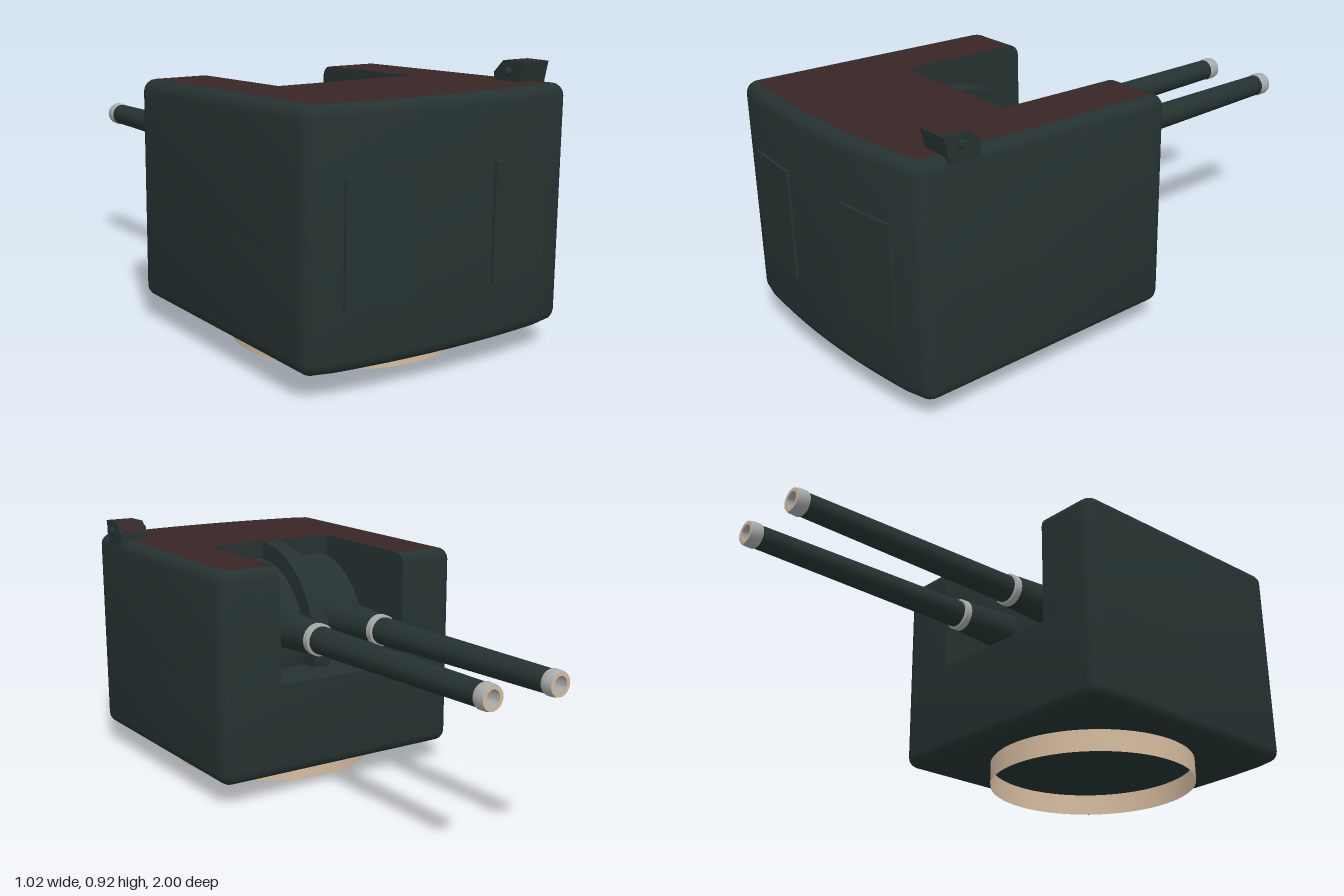
import * as THREE from 'three';
import { toCreasedNormals } from 'three/addons/utils/BufferGeometryUtils.js';

const CX = -0.01, HALF = 0.5, BACK = -0.05, NOTCH = 0.265, NOTCH_Z = 0.45, FLOOR = 0.42, R = 0.045;
const frontZ = x => 0.99 - 0.16 * x * x;
const roofY = (y, z) => (y > 0.6 ? y - 0.022 * (0.99 - z) : y);

// Plan outline of the housing as [x, z], inset by t, with or without the gun slot
function outline(t, slotted) {
  const pts = [], r = R - t;
  const corner = (cx, cz, a0) => {
    for (let i = 0; i <= 4; i++) {
      const a = a0 + (i / 4) * Math.PI / 2;
      pts.push([cx + r * Math.cos(a), cz + r * Math.sin(a)]);
    }
  };
  const ex = HALF - R, ez = frontZ(HALF) - R;
  if (slotted) pts.push([NOTCH, BACK + t]);
  corner(ex, BACK + R, -Math.PI / 2);
  corner(ex, ez, 0);
  for (let i = 1; i < 16; i++) {
    const x = ex * (1 - i / 8);
    pts.push([x, frontZ(x) - t]);
  }
  corner(-ex, ez, Math.PI / 2);
  corner(-ex, BACK + R, Math.PI);
  if (slotted) pts.push([-NOTCH, BACK + t], [-NOTCH, NOTCH_Z], [NOTCH, NOTCH_Z]);
  return pts.map(([x, z]) => [x + CX, z]);
}

function geometryFrom(pos) {
  const g = new THREE.BufferGeometry();
  g.setAttribute('position', new THREE.Float32BufferAttribute(pos, 3));
  g.computeVertexNormals();
  return g;
}

// Flat cap over an outline, facing up or down
function addCap(out, loop, y, up) {
  const tris = THREE.ShapeUtils.triangulateShape(loop.map(p => new THREE.Vector2(p[0], p[1])), []);
  for (const tri of tris) {
    let [a, b, c] = tri.map(i => loop[i]);
    const n = (b[1] - a[1]) * (c[0] - a[0]) - (b[0] - a[0]) * (c[1] - a[1]);
    if ((n > 0) !== up) [b, c] = [c, b];
    for (const p of [a, b, c]) out.push(p[0], roofY(y, p[1]), p[1]);
  }
}

// Walls through a list of [y, inset] levels, bottom to top
function addWalls(out, levels, slotted) {
  const rings = levels.map(([y, t]) => outline(t, slotted).map(([x, z]) => [x, roofY(y, z), z]));
  for (let k = 0; k + 1 < rings.length; k++) {
    const lo = rings[k], hi = rings[k + 1];
    for (let i = 0; i < lo.length; i++) {
      const j = (i + 1) % lo.length;
      out.push(...lo[i], ...hi[i], ...hi[j], ...lo[i], ...hi[j], ...lo[j]);
    }
  }
}

export function createModel() {
  const mat = (name, color, side = THREE.FrontSide) => {
    const m = new THREE.MeshStandardMaterial({ color, side });
    m.name = name;
    return m;
  };
  const green = mat('darkGreen', 0x253231);
  const red = mat('darkRed', 0x392525);
  const tan = mat('tan', 0xd6bb9f, THREE.DoubleSide);
  const silver = mat('silver', 0xa9abab, THREE.DoubleSide);
  const root = new THREE.Group();
  root.name = 'gunTurret';
  const add = (name, geo, material, x = 0, y = 0, z = 0, parent = root) => {
    const m = new THREE.Mesh(geo, material);
    m.name = name;
    m.position.set(x, y, z);
    parent.add(m);
    return m;
  };

  // Housing: full lower hull, slotted upper hull and red roof
  const B = 0.04, steps = [0, 1, 2, 3, 4].map(i => (i / 4) * Math.PI / 2);
  const lower = [], upper = [], roof = [];
  const bottomLevels = steps.map(a => [0.08 + B * (1 - Math.sin(a)), B * (1 - Math.cos(a))]).reverse();
  addWalls(lower, [...bottomLevels, [FLOOR, 0]], false);
  addCap(lower, outline(B, false), 0.08, false);
  addCap(lower, outline(0, false), FLOOR, true);
  const topLevels = steps.map(a => [0.82 + B * Math.sin(a), B * (1 - Math.cos(a))]);
  addWalls(upper, [[FLOOR, 0], ...topLevels], true);
  addCap(roof, outline(B, true), 0.86, true);
  add('lowerHull', toCreasedNormals(geometryFrom(lower), 0.6), green);
  add('upperHull', toCreasedNormals(geometryFrom(upper), 0.6), green);
  add('roof', geometryFrom(roof), red);

  // Base ring
  add('baseRing', new THREE.CylinderGeometry(0.38, 0.38, 0.08, 64, 1, true), tan, CX, 0.04, 0.45);

  // Gun shields and the divider between them
  const drum = (name, r, w, x) =>
    add(name, new THREE.CylinderGeometry(r, r, w, 64).rotateZ(Math.PI / 2), green, x, 0.48, 0.45);
  drum('divider', 0.365, 0.07, CX);
  for (const s of [-1, 1]) drum('gunShield', 0.3, 0.198, CX + s * 0.134);

  // Guns, lathed along -z
  for (const s of [-1, 1]) {
    const gun = new THREE.Group();
    gun.name = s > 0 ? 'leftGun' : 'rightGun';
    gun.position.set(CX + s * 0.135, 0.575, 0);
    root.add(gun);
    const lathe = (name, pts, material) => add(name, toCreasedNormals(
      new THREE.LatheGeometry(pts.map(([r, d]) => new THREE.Vector2(r, d)), 20).rotateX(-Math.PI / 2), 0.6),
    material, 0, 0, 0, gun);
    lathe('sleeve', [[0.073, -0.2], [0.071, -0.14], [0.058, 0.08]], green);
    lathe('collar', [[0.058, 0.08], [0.058, 0.105], [0.046, 0.11]], silver);
    lathe('barrel', [[0.05, 0.1], [0.04, 0.96]], green);
    lathe('muzzle', [[0.04, 0.955], [0.044, 0.962], [0.043, 0.99], [0.04, 1.0]], silver);
    lathe('muzzleRim', [[0.04, 1.0], [0.027, 1.0]], tan);
    lathe('bore', [[0.027, 1.0], [0.025, 0.93]], silver);
    lathe('borePlug', [[0.025, 0.93], [0.0001, 0.93]], green);
  }

  // Front doors, turned to follow the curved face
  for (const s of [-1, 1]) {
    const door = add(s > 0 ? 'leftDoor' : 'rightDoor',
      new THREE.BoxGeometry(0.23, 0.38, 0.03), green, CX + s * 0.27, 0.46, 0.972);
    door.rotation.y = s * 0.086;
  }

  // Sight hood on the roof, with a cross tube and red plates
  const profile = [[0.855, 0.92], [0.765, 0.92], [0.725, 0.88], [0.725, 0.83], [0.835, 0.83]];
  const hood = new THREE.Shape(profile.map(([z, y]) => new THREE.Vector2(-z, y)));
  add('sightHood', new THREE.ExtrudeGeometry(hood, { depth: 0.11, bevelEnabled: false })
    .rotateY(Math.PI / 2), green, 0.38);
  add('hoodTopPlate', new THREE.BoxGeometry(0.09, 0.003, 0.075), red, 0.435, 0.92, 0.81);
  add('hoodSlopePlate', new THREE.BoxGeometry(0.09, 0.003, 0.045), red, 0.435, 0.9, 0.745)
    .rotation.x = -Math.PI / 4;
  add('sightTube', new THREE.CylinderGeometry(0.015, 0.015, 0.15, 16).rotateZ(Math.PI / 2),
    green, 0.435, 0.885, 0.79);
  return root;
}
